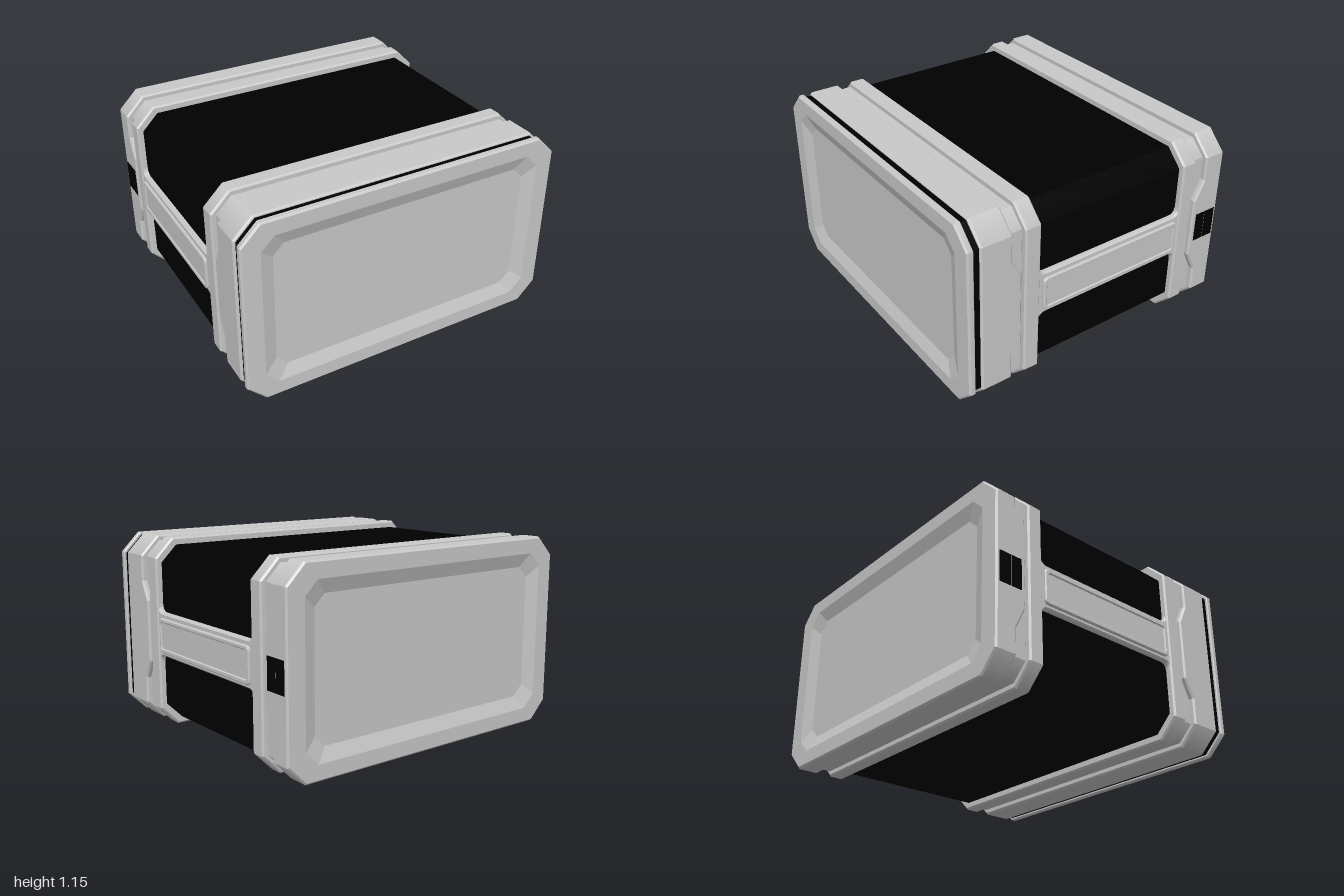
import * as THREE from 'three';

const CY = 0.575; // height of the long axis
const W = 0.993;  // half width of the casing

// Chamfered rectangle as an eight-point loop; odd edges are the chamfers
function octagon(w, h, c) {
  return [[w, -h + c], [w, h - c], [w - c, h], [-w + c, h], [-w, h - c], [-w, -h + c], [-w + c, -h], [w - c, -h]];
}

// Skin a row of chamfered sections [halfWidth, halfHeight, chamfer, z] and cap both ends.
// Straight stretches get softened chamfers, everything else stays flat.
function loft(sections) {
  const pos = [], nor = [];
  const tri = (pts, ns) => {
    pts.forEach((p) => pos.push(...p));
    ns.forEach((n) => nor.push(n.x, n.y, n.z));
  };
  const vec = (p, q) => new THREE.Vector3(q[0] - p[0], q[1] - p[1], q[2] - p[2]);
  const rings = sections.map(([w, h, c, z]) => octagon(w, h, c).map(([x, y]) => [x, y + CY, z]));
  for (let k = 0; k < rings.length - 1; k++) {
    const a = rings[k], b = rings[k + 1];
    const straight = sections[k][0] === sections[k + 1][0];
    const flat = a.map((p, i) => vec(p, a[(i + 1) % 8]).cross(vec(p, b[i])).normalize());
    for (let i = 0; i < 8; i++) {
      const j = (i + 1) % 8, soft = straight && i % 2 === 1;
      const n0 = soft ? flat[i].clone().add(flat[i - 1]).normalize() : flat[i];
      const n1 = soft ? flat[i].clone().add(flat[j]).normalize() : flat[i];
      tri([a[i], a[j], b[j]], [n0, n1, n1]);
      tri([a[i], b[j], b[i]], [n0, n1, n0]);
    }
  }
  const s = rings[0], e = rings[rings.length - 1];
  const back = new THREE.Vector3(0, 0, -1), front = new THREE.Vector3(0, 0, 1);
  for (let i = 1; i < 7; i++) {
    tri([s[0], s[i + 1], s[i]], [back, back, back]);
    tri([e[0], e[i], e[i + 1]], [front, front, front]);
  }
  const g = new THREE.BufferGeometry();
  g.setAttribute('position', new THREE.Float32BufferAttribute(pos, 3));
  g.setAttribute('normal', new THREE.Float32BufferAttribute(nor, 3));
  return g;
}

// Bevelled band between two z values
function band(z0, z1, w = W, h = 0.575, c = 0.115, b = 0.01) {
  return loft([[w - b, h - b, c - b * 0.6, z0], [w, h, c, z0 + b], [w, h, c, z1 - b], [w - b, h - b, c - b * 0.6, z1]]);
}

// Sections of an end face: bevel, rim, then a shallow sloped recess; dir is the outward z direction
function endSections(z, dir) {
  const b = 0.01;
  return [
    [W, 0.575, 0.115, z - dir * b],
    [W - b, 0.575 - b, 0.109, z],
    [0.88, 0.48, 0.08, z],
    [0.8, 0.4, 0.065, z - dir * 0.03],
  ];
}

function roundedRect(path, x0, x1, y0, y1, r) {
  path.moveTo(x0 + r, y0);
  path.lineTo(x1 - r, y0); path.quadraticCurveTo(x1, y0, x1, y0 + r);
  path.lineTo(x1, y1 - r); path.quadraticCurveTo(x1, y1, x1 - r, y1);
  path.lineTo(x0 + r, y1); path.quadraticCurveTo(x0, y1, x0, y1 - r);
  path.lineTo(x0, y0 + r); path.quadraticCurveTo(x0, y0, x0 + r, y0);
  return path;
}

export function createModel() {
  const group = new THREE.Group();
  const casing = new THREE.MeshStandardMaterial({ color: 0xc8c8c8 });
  casing.name = 'light grey casing';
  const dark = new THREE.MeshStandardMaterial({ color: 0x000000 });
  dark.name = 'black';

  function add(name, geo, mat) {
    const m = new THREE.Mesh(geo, mat);
    m.name = name;
    group.add(m);
    return m;
  }

  // Front lid and rear cap with recessed faces
  add('frontLid', loft([[W - 0.006, 0.569, 0.111, 0.845], [W, 0.575, 0.115, 0.851], ...endSections(0.885, 1)]), casing);
  add('rearCap', loft([...endSections(-0.885, -1).reverse(), [W, 0.575, 0.115, -0.76], [W - 0.01, 0.565, 0.109, -0.75]]), casing);

  // Black seal behind the lid and black main body
  add('lidSeal', band(0.79, 0.848, 0.978, 0.56, 0.11, 0.002), dark);
  add('body', band(-0.6, 0.46, 0.955, 0.533, 0.1, 0.002), dark);

  // Collars and the sunken grooves between them
  add('frontCollar', band(0.61, 0.805), casing);
  add('frontRing', band(0.43, 0.53), casing);
  add('rearRing', band(-0.665, -0.57), casing);
  add('frontGroove', band(0.52, 0.62, 0.962, 0.545, 0.09, 0.015), casing);
  add('rearGroove', band(-0.76, -0.655, 0.962, 0.545, 0.09, 0.015), casing);

  // Side parts: outlines drawn in (z, y), extruded outwards on both sides
  for (const s of [1, -1]) {
    const side = s > 0 ? 'left' : 'right';
    const u = (z) => -s * z;
    const extrude = (name, shape, x0, x1, bevel, mat) => {
      const geo = new THREE.ExtrudeGeometry(shape, {
        depth: x1 - x0 - bevel, bevelEnabled: bevel > 0, bevelSize: bevel, bevelThickness: bevel,
        bevelOffset: -bevel, bevelSegments: 1, curveSegments: 5,
      });
      const m = add(side + name, geo, mat);
      m.rotation.y = s * Math.PI / 2;
      m.position.x = s * x0;
    };
    const outline = (pts) => new THREE.Shape(pts.map(([z, y]) => new THREE.Vector2(u(z), y)));
    const rect = (Path, z0, z1, y0, y1, r) =>
      roundedRect(new Path(), Math.min(u(z0), u(z1)), Math.max(u(z0), u(z1)), y0, y1, r);

    // Tapered tabs reaching into the grooves
    for (const [name, root, edge, tip] of [['FrontTab', 0.67, 0.615, 0.552], ['RearTab', -0.81, -0.75, -0.69]]) {
      extrude(name, outline([
        [root, 0.25], [edge, 0.265], [tip, 0.39], [tip, 0.765], [edge, 0.89], [root, 0.9],
      ]), 0.9, W, 0.01, casing);
    }

    // Rail with filleted ends joining the two rings
    const rail = new THREE.Shape();
    const f = 0.045, zA = 0.428, zB = -0.568, y0 = 0.45, y1 = 0.715;
    rail.moveTo(u(zA + 0.02), y0 - f);
    rail.lineTo(u(zA), y0 - f); rail.quadraticCurveTo(u(zA), y0, u(zA - f), y0);
    rail.lineTo(u(zB + f), y0); rail.quadraticCurveTo(u(zB), y0, u(zB), y0 - f);
    rail.lineTo(u(zB - 0.02), y0 - f);
    rail.lineTo(u(zB - 0.02), y1 + f);
    rail.lineTo(u(zB), y1 + f); rail.quadraticCurveTo(u(zB), y1, u(zB + f), y1);
    rail.lineTo(u(zA - f), y1); rail.quadraticCurveTo(u(zA), y1, u(zA), y1 + f);
    rail.lineTo(u(zA + 0.02), y1 + f);
    extrude('Rail', rail, 0.93, 0.985, 0.01, casing);

    // Raised panel with a slightly sunken centre
    const frame = rect(THREE.Shape, -0.555, 0.41, 0.473, 0.685, 0.03);
    frame.holes.push(rect(THREE.Path, -0.528, 0.385, 0.502, 0.658, 0.012));
    extrude('PanelFrame', frame, 0.97, 1.0, 0.006, casing);
    extrude('PanelCentre', rect(THREE.Shape, -0.54, 0.395, 0.488, 0.672, 0.015), 0.96, 0.993, 0, casing);

    // Pair of thin black plates on the rear cap
    for (const [z0, z1] of [[-0.786, -0.718], [-0.864, -0.791]]) {
      extrude('ContactPlate', outline([[z0, 0.487], [z1, 0.487], [z1, 0.668], [z0, 0.668]]), 0.99, 0.996, 0, dark);
    }
  }
  return group;
}
